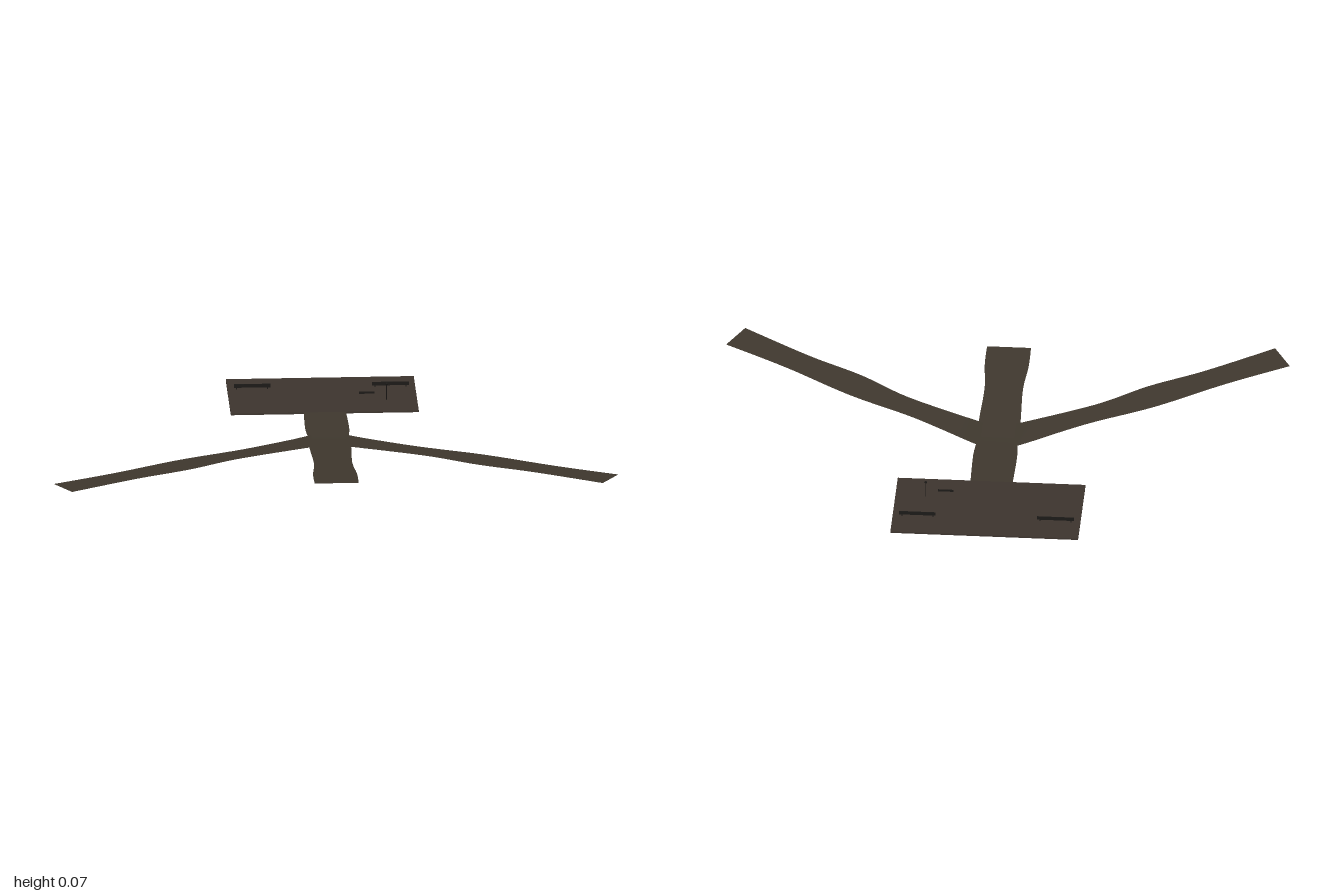
import * as THREE from 'three';

const pathMat = new THREE.MeshStandardMaterial({ name: 'path brown', color: 0x3f382e, side: THREE.DoubleSide });
const deckMat = new THREE.MeshStandardMaterial({ name: 'deck brown', color: 0x3d352e });
const darkMat = new THREE.MeshStandardMaterial({ name: 'dark fittings', color: 0x1c1a18, side: THREE.DoubleSide });

const DECK_TOP = 0.006;

// The ground is level behind the fork and rises gently towards the front
const groundHeight = (z) => DECK_TOP + 0.063 * Math.max(0, z);

// Flat ribbon between two smooth edges given as [x, z] points
function ribbon(name, edgeA, edgeB, steps = 24) {
  const curves = [edgeA, edgeB].map((e) => new THREE.SplineCurve(e.map(([x, z]) => new THREE.Vector2(x, z))));
  const pos = [];
  const index = [];
  for (let i = 0; i <= steps; i++) {
    for (const curve of curves) {
      const p = curve.getPoint(i / steps);
      pos.push(p.x, groundHeight(p.y), p.y);
    }
    if (i < steps) {
      const a = i * 2;
      index.push(a, a + 1, a + 2, a + 2, a + 1, a + 3);
    }
  }
  const geo = new THREE.BufferGeometry();
  geo.setAttribute('position', new THREE.Float32BufferAttribute(pos, 3));
  geo.setIndex(index);
  geo.computeVertexNormals();
  const mesh = new THREE.Mesh(geo, pathMat);
  mesh.name = name;
  return mesh;
}

function box(name, mat, w, h, d, x, y, z) {
  const mesh = new THREE.Mesh(new THREE.BoxGeometry(w, h, d), mat);
  mesh.name = name;
  mesh.position.set(x, y, z);
  return mesh;
}

export function createModel() {
  const model = new THREE.Group();
  model.name = 'platformWithForkedPaths';

  // Rectangular deck at the back
  model.add(box('deck', deckMat, 0.666, DECK_TOP, 0.362, 0, DECK_TOP / 2, -0.452));

  // Straight middle path
  const side = [[0.075, -0.272], [0.078, -0.1], [0.072, 0], [0.074, 0.12], [0.068, 0.32], [0.078, 0.46], [0.078, 0.575]];
  model.add(ribbon('middlePath', side, side.map(([x, z]) => [-x, z])));

  // Two wavy side paths, mirrored
  const rear = [[0.06, -0.035], [0.3, 0.12], [0.54, 0.245], [0.78, 0.4], [1, 0.525]];
  const front = [[0.06, 0.11], [0.33, 0.245], [0.51, 0.37], [0.7, 0.475], [0.94, 0.63]];
  const flip = (pts) => pts.map(([x, z]) => [-x, z]);
  model.add(ribbon('leftPath', rear, front), ribbon('rightPath', flip(front), flip(rear)));

  // Low boards on short legs, one each side of the deck
  for (const s of [-1, 1]) {
    const board = new THREE.Group();
    board.name = s > 0 ? 'leftBoard' : 'rightBoard';
    board.add(box('boardPanel', darkMat, 0.13, 0.013, 0.002, s * 0.245, 0.0185, -0.525));
    for (const t of [-1, 1]) {
      board.add(box('boardLeg', darkMat, 0.003, 0.008, 0.002, s * 0.245 + t * 0.055, 0.009, -0.525));
    }
    model.add(board);
  }

  // Slim post with a round cap
  const post = new THREE.Mesh(new THREE.CylinderGeometry(0.0015, 0.0015, 0.06, 8), darkMat);
  post.name = 'post';
  post.position.set(0.225, 0.036, -0.39);
  const cap = new THREE.Mesh(new THREE.SphereGeometry(0.0045, 12, 8), darkMat);
  cap.name = 'postCap';
  cap.position.set(0.225, 0.066, -0.39);
  model.add(post, cap);

  // Small thin plate beside the post
  model.add(box('smallPlate', darkMat, 0.055, 0.008, 0.001, 0.155, 0.034, -0.39));

  return model;
}
